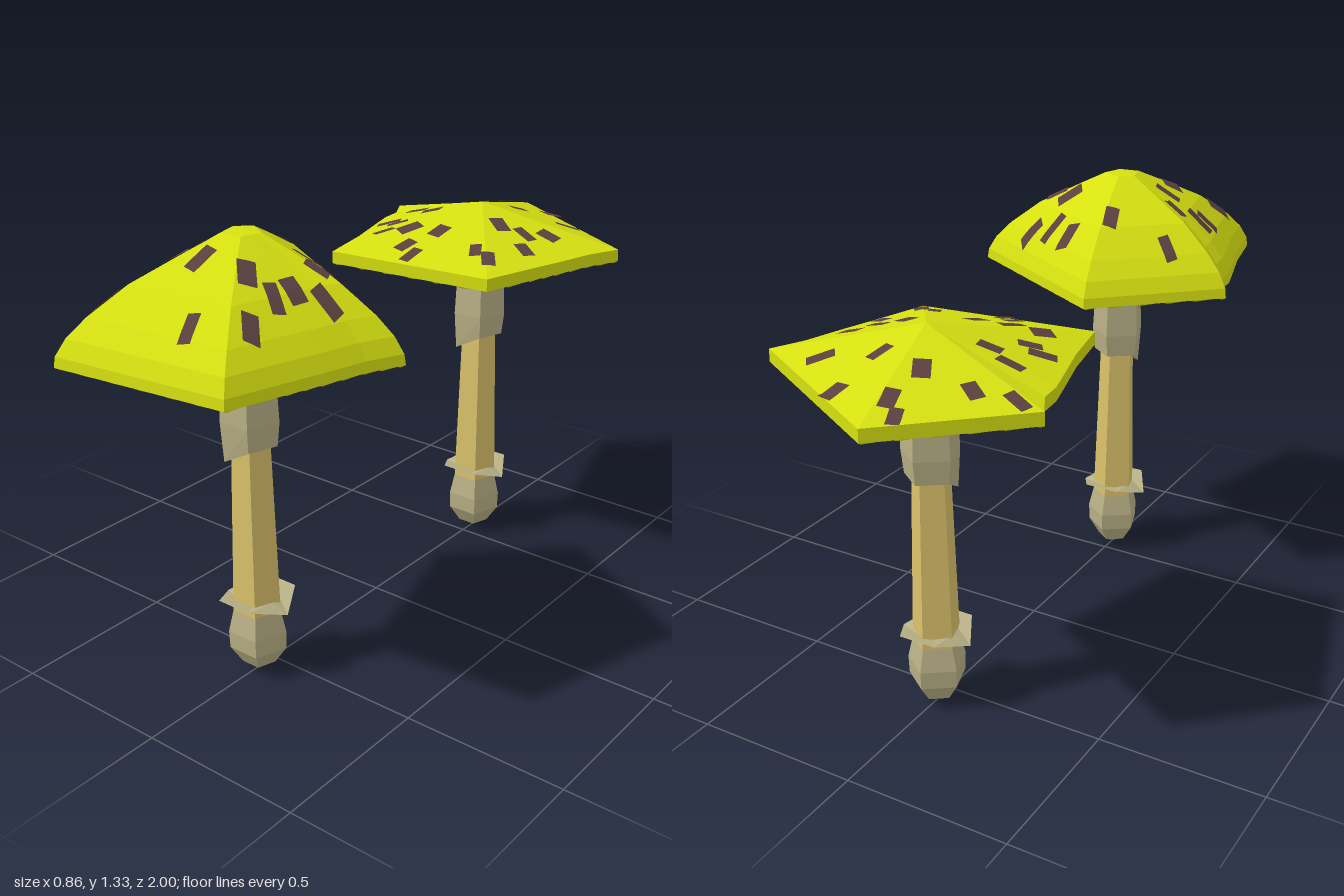
import * as THREE from 'three';
import { mergeGeometries } from 'three/addons/utils/BufferGeometryUtils.js';

const mat = (color) => new THREE.MeshStandardMaterial({ color, flatShading: true, side: THREE.DoubleSide });
const capMat = mat(0xd6e010);
const spotMat = mat(0x5c4040);
const stemMat = mat(0xdac26a);
const paleMat = mat(0xb8b086);

// Plan outline of a cap (x, z), a rough pentagon
const outline = [
  [-0.27, 0.435], [0.27, 0.375], [0.32, 0.2], [0.35, 0.1], [0.385, -0.03], [0.43, -0.13],
  [-0.1, -0.44], [-0.43, -0.13], [-0.385, -0.05], [-0.378, 0.02], [-0.352, 0.11], [-0.31, 0.25],
];

// Outline split into short steps for the gills
const rim = outline.flatMap(([x, z], i) => {
  const [x2, z2] = outline[(i + 1) % outline.length];
  const n = 2 * Math.ceil(Math.hypot(x2 - x, z2 - z) / 0.1);
  return Array.from({ length: n }, (_, k) => [x + (x2 - x) * k / n, z + (z2 - z) * k / n]);
});

// Skin closed rings of [x, y, z] points, from the lowest to the highest
function loft(name, rings, material) {
  const n = rings[0].length, index = [];
  for (let r = 0; r < rings.length - 1; r++) {
    for (let i = 0; i < n; i++) {
      const a = r * n + i, b = r * n + (i + 1) % n;
      index.push(a, b, b + n, a, b + n, a + n);
    }
  }
  const geo = new THREE.BufferGeometry();
  geo.setAttribute('position', new THREE.Float32BufferAttribute(rings.flat(2), 3));
  geo.setIndex(index);
  const flat = geo.toNonIndexed();
  flat.computeVertexNormals();
  const mesh = new THREE.Mesh(flat, material);
  mesh.name = name;
  return mesh;
}

// Regular ring with a flat side toward the front; y may depend on the corner
const ring = (sides, r, y) => Array.from({ length: sides }, (_, i) => {
  const a = (i - 0.5) * 2 * Math.PI / sides;
  return [r * Math.sin(a), typeof y === 'function' ? y(a, i) : y, r * Math.cos(a)];
});

// How far out a plan point lies: 0 at the centre, 1 on the outline
function reach(x, z) {
  for (let i = 0; i < outline.length; i++) {
    const [ax, az] = outline[i], [bx, bz] = outline[(i + 1) % outline.length];
    const d = ax * bz - az * bx;
    const u = (x * bz - z * bx) / d, v = (ax * z - az * x) / d;
    if (u >= -1e-9 && v >= -1e-9) return u + v;
  }
  return 0;
}

// Height of a cap profile of [reach, y] points listed from rim to centre
function heightAt(profile, f) {
  for (let i = 0; i < profile.length - 1; i++) {
    const [f1, y1] = profile[i], [f2, y2] = profile[i + 1];
    if (f <= f1 && f >= f2 && f1 > f2) return y1 + (y2 - y1) * (f1 - f) / (f1 - f2);
  }
  return profile[1][1];
}

// Dark radial patches lying on the cap
function makeSpots(profile, centres) {
  const patches = centres.map(([x, z], i) => {
    const geo = new THREE.PlaneGeometry(0.036 + 0.006 * (i % 3), 0.066 + 0.01 * (i % 2), 2, 4);
    geo.rotateX(-Math.PI / 2).rotateY(Math.atan2(x, z)).translate(x, 0, z);
    const p = geo.attributes.position;
    for (let k = 0; k < p.count; k++) {
      p.setY(k, heightAt(profile, reach(p.getX(k), p.getZ(k))) + 0.006);
    }
    geo.computeVertexNormals();
    return geo;
  });
  const mesh = new THREE.Mesh(mergeGeometries(patches), spotMat);
  mesh.name = 'capSpots';
  return mesh;
}

function makeMushroom(name, z, profile, spots) {
  const g = new THREE.Group();
  g.name = name;
  g.position.z = z;

  // Cap skin and pleated gills beneath it
  g.add(loft('cap', profile.map(([f, y]) => outline.map(([x, w]) => [x * f, y, w * f])), capMat));
  const gillRows = [[0, 0.975, 0], [0.12, 0.98, 0.008], [0.6, 0.998, 0.022], [0.97, 1.012, 0.012], [1, 1.02, 0]];
  g.add(loft('gills', gillRows.map(([f, y, pleat]) =>
    rim.map(([x, w], i) => [x * f, y + (i % 2) * pleat, w * f])), capMat));
  g.add(makeSpots(profile, spots));

  // Stem, foot bulb, drooping ring and ragged sleeve
  g.add(loft('stem', [ring(5, 0.072, 0.2), ring(5, 0.056, 0.78)], stemMat));
  const bulb = [[0, 0], [0.05, 0.025], [0.086, 0.08], [0.088, 0.135], [0.068, 0.22], [0, 0.225]];
  g.add(loft('bulb', bulb.map(([r, y]) => ring(5, r, y)), paleMat));
  g.add(loft('stemRing', [
    ring(6, 0.06, 0.222),
    ring(6, 0.115, (a) => 0.217 + 0.036 * Math.abs(Math.cos(a))),
    ring(6, 0.06, 0.238),
  ], paleMat));
  const hem = (a, i) => (i === 0 ? 0.678 : 0.728);
  g.add(loft('sleeve', [
    ring(5, 0.055, (a, i) => hem(a, i) + 0.012),
    ring(5, 0.078, hem),
    ring(5, 0.086, 0.8),
    ring(5, 0.076, 1.0),
  ], paleMat));
  return g;
}

export function createModel() {
  const model = new THREE.Group();
  model.name = 'mushroomPair';

  const dome = [[1, 1.02], [0.99, 1.05], [0.93, 1.095], [0.82, 1.145], [0.6, 1.22], [0.3, 1.29], [0.12, 1.33], [0, 1.332]];
  const domeSpots = [
    [-0.25, -0.18], [-0.07, -0.21], [0.06, -0.25], [0.14, -0.2], [0.23, -0.18], [0.14, -0.09],
    [0.2, -0.06], [0.27, -0.01], [0.21, 0.05], [0.2, 0.11], [0.22, 0.22], [0.12, 0.12],
    [0.09, 0.3], [-0.02, 0.14], [-0.11, 0.14], [-0.21, 0.3], [-0.25, 0.12], [-0.25, 0.06],
    [-0.2, -0.02], [-0.14, 0.05],
  ];
  model.add(makeMushroom('domedMushroom', 0.56, dome, domeSpots));

  const flat = [[1, 1.02], [0.998, 1.058], [0.33, 1.132], [0, 1.17]];
  const flatSpots = [
    [-0.15, -0.36], [-0.1, -0.31], [0.07, -0.31], [-0.36, -0.14], [-0.25, -0.17], [-0.1, -0.17],
    [0.05, -0.14], [0.22, -0.17], [0.25, 0], [0.2, 0.06], [0.25, 0.14], [0.12, 0.08],
    [0.15, 0.26], [0.21, 0.28], [-0.02, 0.21], [-0.02, 0.36], [-0.07, 0.32], [-0.12, 0.23],
    [-0.22, 0.16], [-0.27, 0.14], [-0.2, 0.26], [-0.25, 0.01], [-0.17, 0.04],
  ];
  model.add(makeMushroom('flatMushroom', -0.56, flat, flatSpots));
  return model;
}
